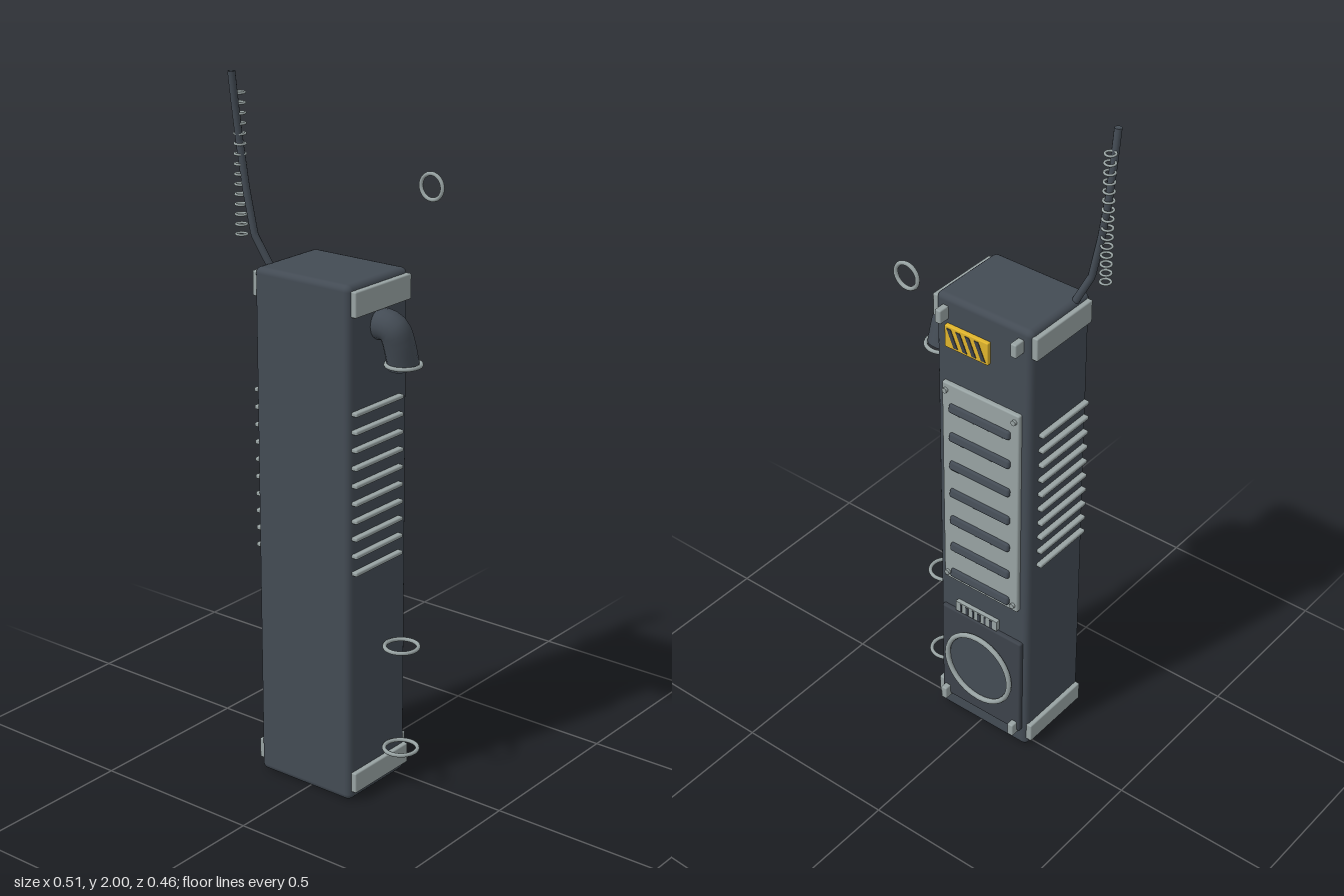
import * as THREE from 'three';
import { RoundedBoxGeometry } from 'three/addons/geometries/RoundedBoxGeometry.js';

export function createModel() {
  const model = new THREE.Group();
  model.name = 'handheldDevice';
  const mat = (color) => new THREE.MeshStandardMaterial({ color });
  const dark = mat(0x434b54), panelDark = mat(0x3c424a), steel = mat(0x98a3a3), yellow = mat(0xe0b52c);
  const CX = -0.014, HALF = 0.161, BACK = -0.035;

  const add = (name, geometry, material, x = 0, y = 0, z = 0) => {
    const mesh = new THREE.Mesh(geometry, material);
    mesh.name = name;
    mesh.position.set(x, y, z);
    model.add(mesh);
    return mesh;
  };
  const box = (name, w, h, d, material, x, y, z) =>
    add(name, new THREE.BoxGeometry(w, h, d), material, x, y, z);
  const rounded = (name, w, h, d, r, material, x, y, z) =>
    add(name, new RoundedBoxGeometry(w, h, d, 2, r), material, x, y, z);
  const ring = (name, radius, tube, x, y, z, flat) => {
    const mesh = add(name, new THREE.TorusGeometry(radius, tube, 8, 32), steel, x, y, z);
    if (flat) mesh.rotation.x = Math.PI / 2;
    return mesh;
  };
  const path = (points) => {
    const curve = new THREE.CurvePath();
    const v = points.map((p) => new THREE.Vector3(...p));
    for (let i = 1; i < v.length; i++) curve.add(new THREE.LineCurve3(v[i - 1], v[i]));
    return curve;
  };

  // Main case
  rounded('body', 0.322, 1.485, 0.255, 0.018, dark, CX, 0.7475, 0.0925);

  // Side bands and cooling fins, mirrored
  for (const s of [-1, 1]) {
    const x = CX + s * (HALF + 0.004);
    rounded('topBand', 0.02, 0.07, 0.238, 0.004, steel, x, 1.44, 0.09);
    rounded('bottomBand', 0.02, 0.06, 0.238, 0.004, steel, x, 0.062, 0.09);
    for (let i = 0; i < 10; i++)
      rounded('sideFin', 0.024, 0.012, 0.205, 0.004, steel, x, 0.69 + i * 0.0502, 0.105);
    // Corner clips on the back
    for (const y of [1.44, 0.08])
      rounded('cornerClip', 0.02, 0.042, 0.036, 0.004, steel, CX + s * 0.126, y, -0.051);
  }

  // Louvred back plate with screws
  rounded('backPlate', 0.265, 0.69, 0.018, 0.005, steel, CX, 0.875, -0.039);
  for (let i = 0; i < 7; i++) {
    const louvre = rounded('louvre', 0.21, 0.028, 0.018, 0.008, dark, CX, 0.56 + i * 0.0975, -0.049);
    louvre.rotation.x = 0.25;
  }
  for (const s of [-1, 1])
    for (const y of [1.197, 0.552]) {
      const screw = add('plateScrew', new THREE.CylinderGeometry(0.008, 0.008, 0.012, 12), steel,
        CX + s * 0.118, y, -0.05);
      screw.rotation.x = Math.PI / 2;
    }

  // Lower panel with round dial
  rounded('lowerPanel', 0.29, 0.345, 0.022, 0.006, panelDark, CX, 0.24, -0.037);
  ring('dialRing', 0.115, 0.008, CX, 0.247, -0.06);
  const dial = add('dialFace', new THREE.CylinderGeometry(0.112, 0.112, 0.012, 40), dark, CX, 0.247, -0.047);
  dial.rotation.x = Math.PI / 2;

  // Small slotted grille above the panel
  box('grillePlate', 0.15, 0.034, 0.016, steel, 0.002, 0.436, -0.041);
  for (let i = 0; i < 6; i++)
    box('grilleSlot', i % 2 ? 0.006 : 0.01, 0.026, 0.004, panelDark, -0.053 + i * 0.022, 0.436, -0.049);

  // Yellow plate with slanted stripes
  rounded('warningPlate', 0.147, 0.07, 0.014, 0.003, yellow, 0.033, 1.373, -0.041);
  const stripe = new THREE.Shape([[-0.019, -0.027], [-0.005, -0.027], [0.019, 0.027], [0.005, 0.027]]
    .map(([x, y]) => new THREE.Vector2(x, y)));
  const stripeGeometry = new THREE.ExtrudeGeometry(stripe, { depth: 0.003, bevelEnabled: false });
  for (let i = 0; i < 4; i++)
    add('warningStripe', stripeGeometry, panelDark, -0.014 + i * 0.031, 1.373, -0.05);

  // Elbow pipe on the left side
  const elbow = new THREE.CatmullRomCurve3([
    [0.13, 1.362, 0.088], [0.17, 1.362, 0.088], [0.19, 1.352, 0.085],
    [0.197, 1.325, 0.077], [0.2, 1.25, 0.056],
  ].map((p) => new THREE.Vector3(...p)));
  add('elbowPipe', new THREE.TubeGeometry(elbow, 14, 0.043, 16), dark).material =
    new THREE.MeshStandardMaterial({ color: 0x434b54, side: THREE.DoubleSide });
  const cap = add('pipeEnd', new THREE.CircleGeometry(0.043, 24), panelDark, 0.2, 1.253, 0.056);
  cap.rotation.x = Math.PI / 2;

  // Pipe rim and hose loops below it
  for (const y of [1.252, 0.437, 0.125]) ring('hoseLoop', 0.047, 0.006, 0.2, y, 0.056, true);

  // Free ring behind the case
  ring('looseRing', 0.036, 0.006, 0.08, 1.66, -0.223);

  // Bent antenna with its stack of rings
  const antenna = path([
    [-0.16, 1.475, 0.163], [-0.2, 1.565, 0.184], [-0.222, 1.69, 0.19],
    [-0.237, 1.81, 0.195], [-0.24, 1.91, 0.207], [-0.24, 2.0, 0.219],
  ]);
  add('antenna', new THREE.TubeGeometry(antenna, 50, 0.0105, 10), dark);
  const tip = add('antennaTip', new THREE.CircleGeometry(0.0105, 10), dark, -0.24, 2.0, 0.219);
  tip.rotation.x = -Math.PI / 2;
  for (let i = 0; i < 15; i++)
    ring('antennaRing', 0.0145, 0.0035, -0.24, 1.562 + i * 0.027, 0.19, true);

  return model;
}
